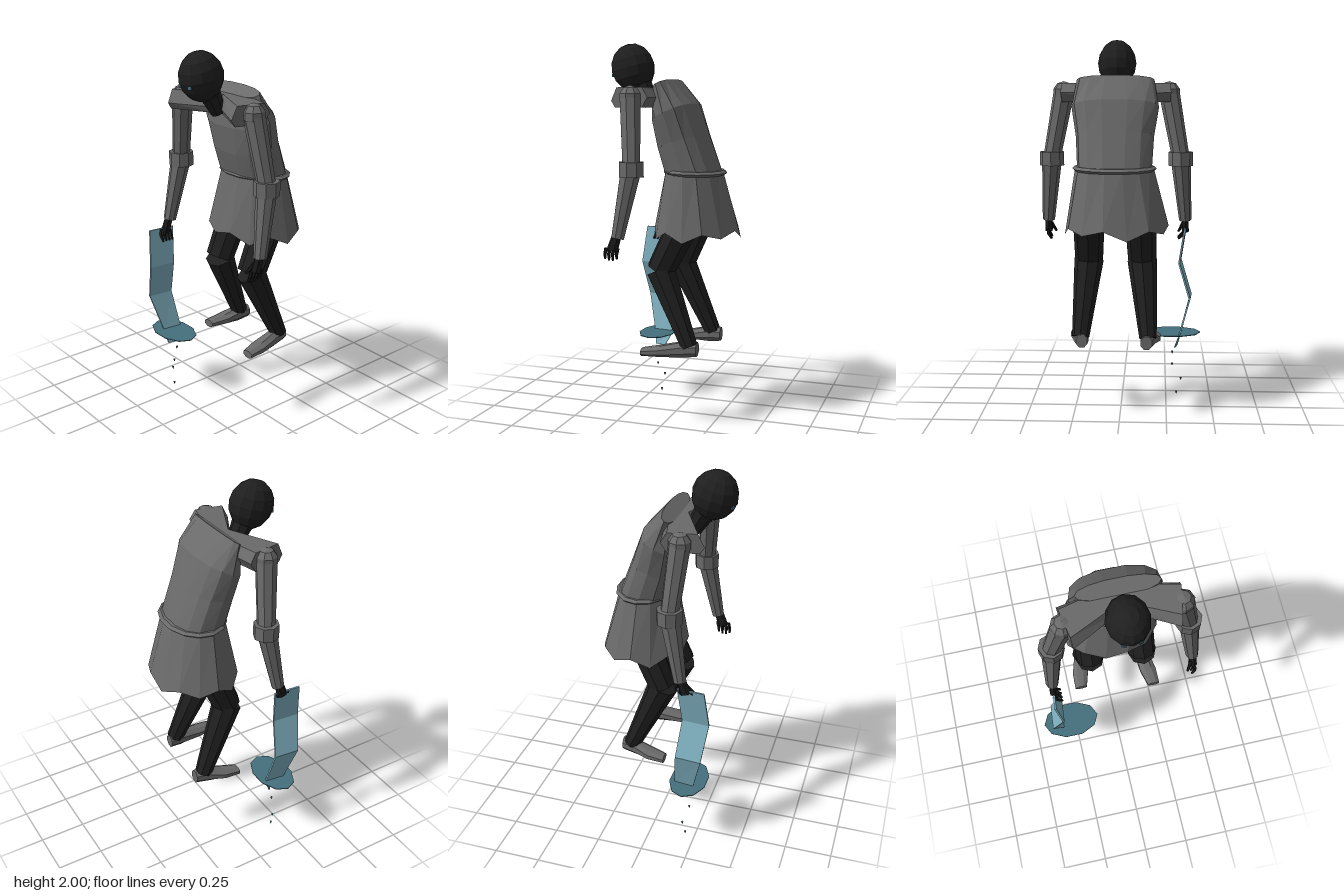
import * as THREE from 'three';

const CX = 0.03; // body's centre line
const V = (x, y, z) => new THREE.Vector3(x, y, z);

function mat(name, color, double = false) {
  const m = new THREE.MeshStandardMaterial({ color, flatShading: true });
  m.name = name;
  if (double) m.side = THREE.DoubleSide;
  return m;
}

// Skin a list of equal-length rings of points, optionally closing the ends
function loft(rings, caps = true) {
  const p = [];
  const tri = (...v) => v.forEach((q) => p.push(q.x, q.y, q.z));
  const n = rings[0].length;
  for (let r = 0; r + 1 < rings.length; r++) {
    for (let i = 0; i < n; i++) {
      const j = (i + 1) % n, a = rings[r], b = rings[r + 1];
      tri(a[i], a[j], b[j]);
      tri(a[i], b[j], b[i]);
    }
  }
  if (caps) {
    const first = rings[0], last = rings[rings.length - 1];
    for (let i = 1; i + 1 < n; i++) {
      tri(first[0], first[i + 1], first[i]);
      tri(last[0], last[i], last[i + 1]);
    }
  }
  const g = new THREE.BufferGeometry();
  g.setAttribute('position', new THREE.Float32BufferAttribute(p, 3));
  g.computeVertexNormals();
  return g;
}

// Ring of 14 points around the body; front and back may sit at different heights
function bodyRing(rx, zFront, zBack, yFront, yBack, power = 1) {
  const pw = (v) => Math.sign(v) * Math.abs(v) ** power;
  return Array.from({ length: 14 }, (_, i) => {
    const t = (i / 14) * Math.PI * 2;
    const k = (pw(Math.sin(t)) + 1) / 2; // 1 at the back
    return V(CX + rx * pw(Math.cos(t)), yFront + (yBack - yFront) * k, zFront + (zBack - zFront) * k);
  });
}

export function createModel() {
  const model = new THREE.Group();
  const cloth = mat('greyCloth', 0x6a6a6a);
  const skirtCloth = mat('greySkirtCloth', 0x6a6a6a, true);
  const dark = mat('darkHide', 0x1f1f1f);
  const glove = mat('blackGlove', 0x191919);
  const steel = mat('paleBlueBlade', 0x7fb0c0);
  const pool = mat('deepTeal', 0x44707d, true);

  const add = (name, geo, material, parent = model) => {
    const m = new THREE.Mesh(geo, material);
    m.name = name;
    parent.add(m);
    return m;
  };
  // Tapered prism from a to b
  const limb = (name, a, b, ra, rb, material, parent = model, sides = 8) => {
    const d = b.clone().sub(a);
    const m = add(name, new THREE.CylinderGeometry(rb, ra, d.length(), sides), material, parent);
    m.position.copy(a).addScaledVector(d, 0.5);
    m.quaternion.setFromUnitVectors(V(0, 1, 0), d.normalize());
    return m;
  };

  // Hunched torso
  add('torso', loft([
    bodyRing(0.195, 0.03, -0.252, 1.33, 1.33, 0.82),
    bodyRing(0.205, 0.065, -0.177, 1.46, 1.53, 0.82),
    bodyRing(0.23, 0.085, -0.117, 1.6, 1.69, 0.8),
    bodyRing(0.205, 0.07, -0.006, 1.765, 1.813, 0.9),
  ]), cloth);

  // Shoulder yoke, swept forward at both ends
  const hex = [[-1, 0], [-0.7, -1], [0.8, -1], [1, -0.35], [0.7, 1], [-0.7, 1]].reverse();
  const yokeRing = (side) => hex.map(([z, y]) => {
    const depth = side ? 0.105 : 0.065;
    return V(CX + side * (0.275 - 0.02 * z), 1.72 + y * 0.05, (side ? 0.145 : 0.05) + z * depth);
  });
  add('shoulderYoke', loft([yokeRing(-1), yokeRing(0), yokeRing(1)]), cloth);

  // Belt
  add('belt', loft([
    bodyRing(0.206, 0.03, -0.265, 1.326, 1.316),
    bodyRing(0.22, 0.045, -0.282, 1.339, 1.329),
    bodyRing(0.206, 0.03, -0.265, 1.352, 1.342),
  ]), cloth);

  // Flared skirt with a ragged hem, hanging slightly to one side
  const hem = bodyRing(0.272, 0.098, -0.354, 1.01, 1.005);
  hem.forEach((p, i) => {
    p.x -= 0.012;
    p.y += [-0.02, 0.025, 0, 0.03][i % 4];
  });
  add('skirt', loft([hem, bodyRing(0.205, 0.035, -0.262, 1.34, 1.33)], false), skirtCloth);

  // Head, neck and eyes
  const head = add('head', new THREE.SphereGeometry(1, 12, 8), dark);
  head.scale.set(0.105, 0.127, 0.118);
  head.position.set(CX, 1.875, 0.23);
  head.rotation.x = 0.25;
  limb('neck', V(CX, 1.685, 0.125), V(CX, 1.82, 0.2), 0.042, 0.062, dark);
  for (const s of [-1, 1]) {
    const eye = add('eye', new THREE.BoxGeometry(0.022, 0.016, 0.009), pool);
    eye.position.set(CX + s * 0.039, 1.834, 0.33);
    eye.rotation.y = s * 0.35;
  }

  for (const s of [-1, 1]) {
    const side = s > 0 ? 'left' : 'right';
    const at = (x, y, z) => V(CX + s * x, y, z);

    // Arm
    const arm = new THREE.Group();
    arm.name = side + 'Arm';
    model.add(arm);
    const shoulder = at(0.285, 1.72, 0.135), elbow = at(0.35, 1.37, 0.105), wrist = at(0.38, 1.02, 0.17);
    const cap = add('shoulderCap', new THREE.SphereGeometry(0.06, 8, 5), cloth, arm);
    cap.position.copy(shoulder);
    limb('upperArm', elbow, shoulder, 0.047, 0.056, cloth, arm);
    limb('forearm', wrist, elbow, 0.034, 0.055, cloth, arm);
    const cuff = add('elbowCuff', new THREE.CylinderGeometry(0.066, 0.066, 0.075, 8), cloth, arm);
    cuff.position.copy(elbow).y -= 0.005;

    // Hand: palm, four two-joint fingers and a thumb
    const hand = new THREE.Group();
    hand.name = side + 'Hand';
    arm.add(hand);
    limb('palm', at(0.382, 0.955, 0.2), at(0.38, 1.03, 0.175), 0.03, 0.026, glove, hand, 6).scale.x = 0.75;
    const curl = s < 0 ? 0.035 : 0.008; // the right hand grips
    for (let i = 0; i < 4; i++) {
      const z = 0.168 + i * 0.021;
      const knuckle = at(0.385, 0.968, z);
      const joint = at(0.387 - curl * 0.5, 0.935, z + 0.008);
      const tip = at(0.378 - curl, s < 0 ? 0.912 : 0.9 + Math.abs(i - 1.5) * 0.008, z + 0.012);
      limb('fingerBase', joint, knuckle, 0.009, 0.01, glove, hand, 5);
      limb('fingerTip', tip, joint, 0.006, 0.009, glove, hand, 5);
    }
    limb('thumb', at(0.345, 0.945, 0.235), at(0.37, 0.995, 0.2), 0.007, 0.012, glove, hand, 5);

    // Leg, the right one standing slightly further back
    const leg = new THREE.Group();
    leg.name = side + 'Leg';
    model.add(leg);
    const back = s < 0 ? 1 : 0;
    const hip = at(0.135, 1.12, -0.12), knee = at(0.145, 0.825, 0.025 - back * 0.02);
    const ankle = at(0.18, 0.435, -0.145 - back * 0.02);
    limb('thigh', knee, hip, 0.076, 0.086, dark, leg);
    limb('shin', ankle, knee, 0.046, 0.08, dark, leg);

    // Foot, toes turned slightly out: [z, x offset, half width, bottom, top]
    const heelZ = back ? -0.215 : -0.185, toeZ = back ? 0.035 : 0.105;
    const sections = [
      [heelZ, 0.172, 0.03, 0.386, 0.458],
      [heelZ + 0.07, 0.18, 0.039, 0.378, 0.46],
      [toeZ - 0.09, 0.2, 0.046, 0.376, 0.432],
      [toeZ, 0.214, 0.034, 0.376, 0.416],
    ];
    add('foot', loft(sections.map(([z, x, w, lo, hi]) => Array.from({ length: 8 }, (_, i) => {
      const t = ((i + 0.5) / 8) * Math.PI * 2;
      return V(CX + s * x + (w * Math.cos(t)) / 0.92, (lo + hi) / 2 + ((hi - lo) / 2) * Math.sin(t) / 0.92, z);
    }))), cloth, leg);
  }

  // Crooked thin blade, turned slightly: [y, x, back z, front z]
  const bladeSections = [
    [0.285, -0.305, 0.17, 0.23],
    [0.35, -0.325, 0.135, 0.24],
    [0.57, -0.385, 0.155, 0.295],
    [0.77, -0.325, 0.175, 0.322],
    [0.975, -0.355, 0.155, 0.3],
  ];
  add('blade', loft(bladeSections.map(([y, x, zb, zf]) => [
    V(x - 0.001, y, zf), V(x + 0.011, y, zb), V(x + 0.001, y, zb), V(x - 0.011, y, zf),
  ])), steel);

  // Flat disc around the blade's lower end
  const disc = add('disc', new THREE.CylinderGeometry(1, 1, 0.004, 10, 1, false, Math.PI / 2), pool);
  disc.scale.set(0.16, 1, 0.103);
  disc.position.set(-0.283, 0.367, 0.207);

  // Falling drops
  for (const [x, y, z] of [[-0.285, 0.25, 0.19], [-0.285, 0.173, 0.21], [-0.335, 0.095, 0.185], [-0.31, 0.009, 0.195]]) {
    const drop = add('drop', new THREE.ConeGeometry(0.007, 0.018, 5), pool);
    drop.position.set(x, y, z);
    drop.rotation.x = Math.PI;
  }
  return model;
}
